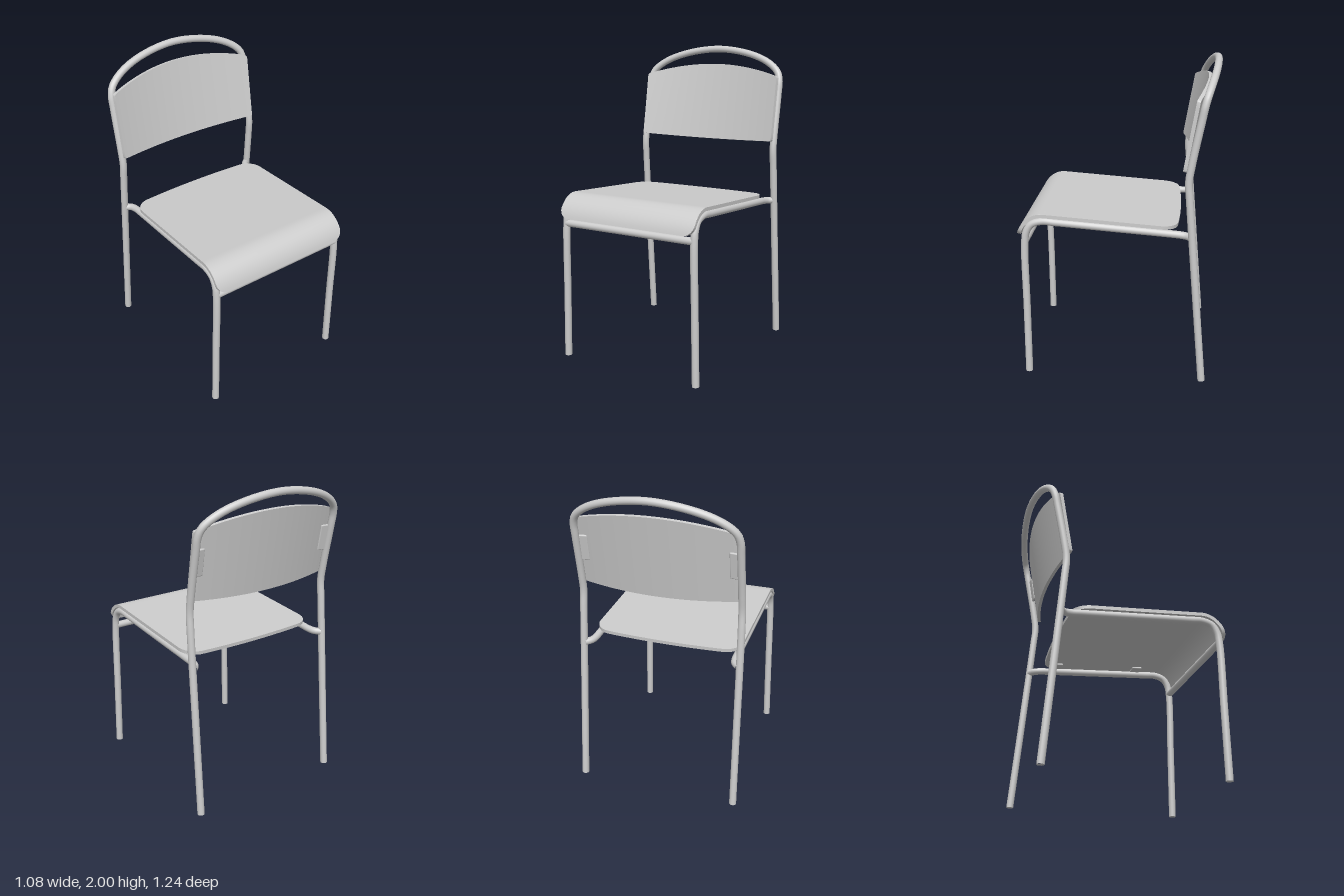
import * as THREE from 'three';
import { toCreasedNormals } from 'three/addons/utils/BufferGeometryUtils.js';
import { RoundedBoxGeometry } from 'three/addons/geometries/RoundedBoxGeometry.js';

const R = 0.023; // tube radius
const material = new THREE.MeshStandardMaterial({ color: 0xcccccc });

function part(name, geometry, position = [0, 0, 0], rotation = [0, 0, 0]) {
  const mesh = new THREE.Mesh(geometry, material);
  mesh.name = name;
  mesh.position.set(...position);
  mesh.rotation.set(...rotation);
  return mesh;
}

// Bent steel tube through a list of points
function tube(name, points, segments) {
  const curve = new THREE.CatmullRomCurve3(points.map((p) => new THREE.Vector3(...p)));
  return part(name, new THREE.TubeGeometry(curve, segments, R, 16));
}

// Flat end under a leg
const footCap = (x, z) => part('footCap', new THREE.CircleGeometry(R, 16), [x, 0.003, z], [Math.PI / 2, 0, 0]);

// Curved sheet of even thickness; range(x) trims each column, surface(x, t) gives point and normal
function sheet(halfWidth, range, surface, thickness, nx, nt) {
  const positions = [], index = [];
  const count = (nx + 1) * (nt + 1);
  for (const depth of [0, thickness]) {
    for (let i = 0; i <= nx; i++) {
      const x = halfWidth * Math.sin((i / nx - 0.5) * Math.PI);
      const [a, b] = range(x);
      for (let j = 0; j <= nt; j++) {
        const { point, normal } = surface(x, a + ((b - a) * j) / nt);
        positions.push(...point.addScaledVector(normal, -depth).toArray());
      }
    }
  }
  const id = (i, j) => i * (nt + 1) + j;
  for (let i = 0; i < nx; i++) {
    for (let j = 0; j < nt; j++) {
      const a = id(i, j), b = id(i + 1, j), c = id(i + 1, j + 1), d = id(i, j + 1);
      index.push(a, b, c, a, c, d);
      index.push(a + count, c + count, b + count, a + count, d + count, c + count);
    }
  }
  // Rim joining both faces
  const rim = [];
  for (let i = 0; i < nx; i++) rim.push(id(i, 0));
  for (let j = 0; j < nt; j++) rim.push(id(nx, j));
  for (let i = nx; i > 0; i--) rim.push(id(i, nt));
  for (let j = nt; j > 0; j--) rim.push(id(0, j));
  rim.forEach((a, k) => {
    const b = rim[(k + 1) % rim.length];
    index.push(a, a + count, b, b, a + count, b + count);
  });
  const geometry = new THREE.BufferGeometry();
  geometry.setAttribute('position', new THREE.Float32BufferAttribute(positions, 3));
  geometry.setIndex(index);
  return toCreasedNormals(geometry, 0.6);
}

// How far a rounded corner of radius r cuts back the end of the column at x
function cornerCut(x, halfWidth, r) {
  const c = Math.max(0, Math.abs(x) - (halfWidth - r));
  return r - Math.sqrt(Math.max(0, r * r - c * c));
}

// Seat: gentle slope that rolls over at the front
function seatGeometry() {
  const half = 0.483;
  const v = (z, y) => new THREE.Vector2(z, y);
  const profile = new THREE.CurvePath();
  profile.add(new THREE.LineCurve(v(-0.392, 1.018), v(0.45, 1.08)));
  profile.add(new THREE.CubicBezierCurve(v(0.45, 1.08), v(0.54, 1.087), v(0.605, 1.01), v(0.62, 0.935)));
  const length = profile.getLength();
  const range = (x) => [
    length - cornerCut(x, half, 0.07),
    0.025 * (x / half) ** 2 + cornerCut(x, half, 0.1),
  ];
  const surface = (x, t) => {
    const u = THREE.MathUtils.clamp(t / length, 0, 1);
    const p = profile.getPointAt(u), d = profile.getTangentAt(u);
    return { point: new THREE.Vector3(x, p.y, p.x), normal: new THREE.Vector3(0, d.x, -d.y) };
  };
  return sheet(half, range, surface, 0.022, 40, 56);
}

// Backrest: leaning sheet curved around the sitter, with arched top
function backrestGeometry() {
  const half = 0.505, lean = 0.17, sag = 0.065;
  const range = (x) => {
    const q = (x / half) ** 2;
    return [1.36 + 0.015 * q + cornerCut(x, half, 0.01), 1.875 - 0.075 * q - cornerCut(x, half, 0.01)];
  };
  const surface = (x, y) => ({
    point: new THREE.Vector3(x, y, -0.395 - lean * (y - 1.375) - sag * (1 - (x / half) ** 2)),
    normal: new THREE.Vector3((-2 * sag * x) / half ** 2, lean, 1).normalize(),
  });
  return sheet(half, range, surface, 0.022, 40, 10);
}

export function createModel() {
  const chair = new THREE.Group();
  chair.name = 'chair';

  // Rear legs, uprights and top hoop in one tube
  const side = [
    [0.519, 0.003, -0.545], [0.5145, 0.6, -0.4925], [0.51, 1.2, -0.441], [0.508, 1.31, -0.433],
    [0.508, 1.42, -0.448], [0.507, 1.69, -0.5], [0.505, 1.77, -0.516], [0.485, 1.825, -0.532],
    [0.405, 1.888, -0.558], [0.25, 1.945, -0.586],
  ];
  const mirrored = side.map(([x, y, z]) => [-x, y, z]).reverse();
  chair.add(tube('backFrame', [...side, [0, 1.977, -0.602], ...mirrored], 200));

  for (const s of [1, -1]) {
    const sideName = s > 0 ? 'left' : 'right';

    // Front leg bending into the seat rail, then out to the rear leg
    chair.add(tube(sideName + 'FrontLegAndRail', [
      [0.48, 0.003, 0.57], [0.472, 0.45, 0.57], [0.465, 0.88, 0.57], [0.464, 0.96, 0.558],
      [0.463, 1.01, 0.525], [0.463, 1.031, 0.46], [0.463, 1.026, 0.38], [0.463, 0.997, 0],
      [0.463, 0.972, -0.33], [0.464, 0.967, -0.39], [0.475, 0.964, -0.43], [0.507, 0.962, -0.462],
    ].map(([x, y, z]) => [s * x, y, z]), 120));
    chair.add(footCap(s * 0.48, 0.57), footCap(s * 0.519, -0.545));

    // Tabs holding the seat to the rail
    for (const z of [0.3, -0.28]) {
      chair.add(part(sideName + 'SeatTab', new RoundedBoxGeometry(0.08, 0.014, 0.07, 2, 0.006),
        [s * 0.415, 1.018 + 0.0736 * (z + 0.392) - 0.028, z], [-0.073, 0, 0]));
    }

    // Plate holding the backrest to the upright
    chair.add(part(sideName + 'BackrestPlate', new RoundedBoxGeometry(0.06, 0.17, 0.016, 2, 0.007),
      [s * 0.467, 1.61, -0.474], [-0.17, s * 0.1, 0]));
  }

  // Bar between the front legs
  chair.add(part('frontCrossbar', new THREE.CylinderGeometry(R, R, 0.92, 16), [0, 0.897, 0.57], [0, 0, Math.PI / 2]));

  chair.add(part('seat', seatGeometry()));
  chair.add(part('backrest', backrestGeometry()));
  return chair;
}
